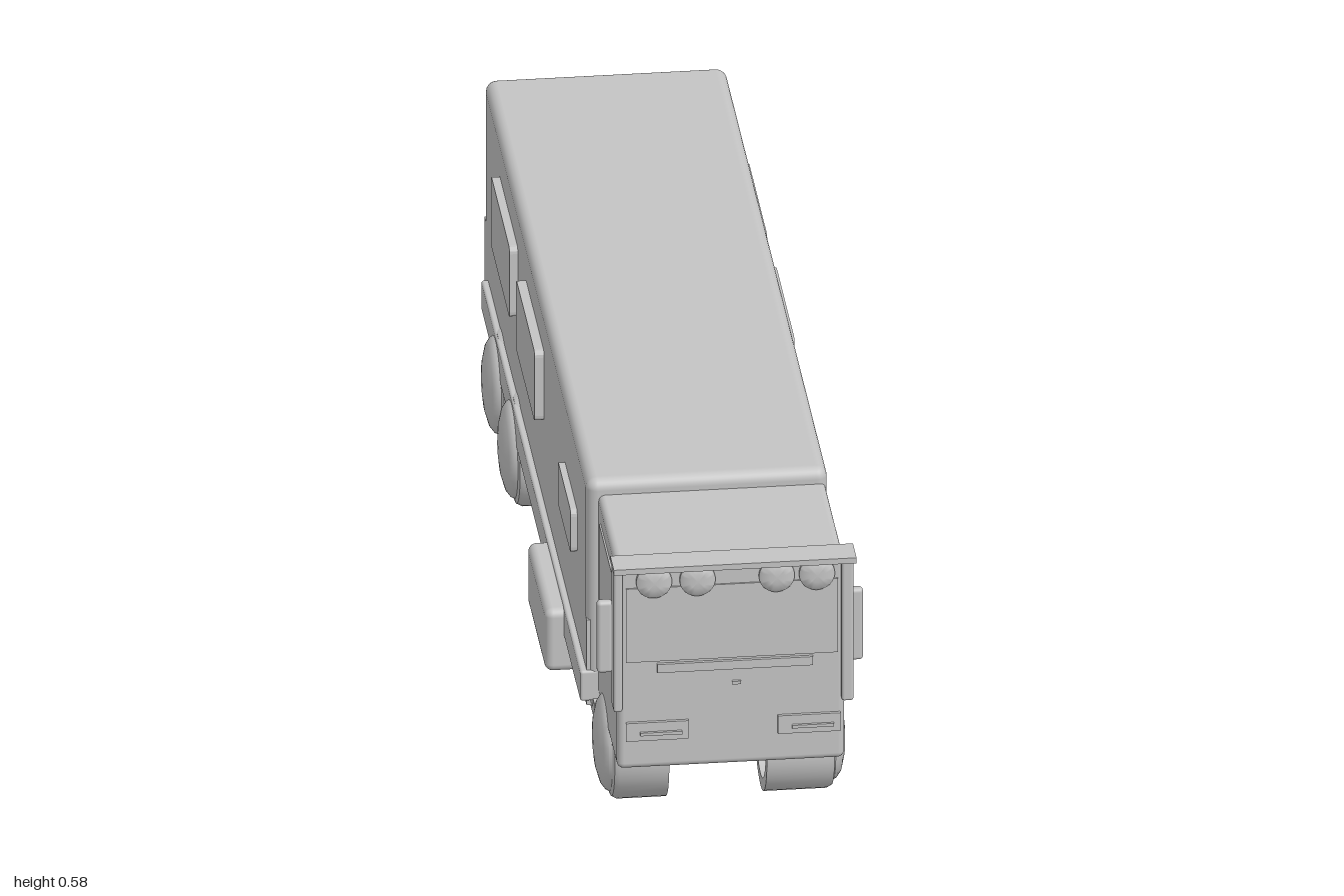
import * as THREE from 'three';
import { toCreasedNormals } from 'three/addons/utils/BufferGeometryUtils.js';
import { RoundedBoxGeometry } from 'three/addons/geometries/RoundedBoxGeometry.js';

export function createModel() {
  const model = new THREE.Group();
  model.name = 'expeditionTruck';
  const grey = new THREE.MeshStandardMaterial({ color: 0xc4c4c4, side: THREE.DoubleSide });
  grey.name = 'plain grey';

  const add = (name, geometry, parent = model) => {
    const mesh = new THREE.Mesh(geometry, grey);
    mesh.name = name;
    parent.add(mesh);
    return mesh;
  };
  // Box given by its limits; r > 0 rounds the edges
  const box = (name, [x0, x1], [y0, y1], [z0, z1], r = 0) => {
    const size = [x1 - x0, y1 - y0, z1 - z0];
    const geometry = r ? new RoundedBoxGeometry(...size, 3, r) : new THREE.BoxGeometry(...size);
    geometry.translate((x0 + x1) / 2, (y0 + y1) / 2, (z0 + z1) / 2);
    return add(name, geometry);
  };
  // Rounded plate lying on a side wall, facing along x
  const sidePlate = (name, x, [y0, y1], [z0, z1], depth, r = 0.012) => {
    const w = (z1 - z0) / 2, h = (y1 - y0) / 2;
    const s = new THREE.Shape();
    s.moveTo(-w + r, -h);
    s.lineTo(w - r, -h); s.quadraticCurveTo(w, -h, w, -h + r);
    s.lineTo(w, h - r); s.quadraticCurveTo(w, h, w - r, h);
    s.lineTo(-w + r, h); s.quadraticCurveTo(-w, h, -w, h - r);
    s.lineTo(-w, -h + r); s.quadraticCurveTo(-w, -h, -w + r, -h);
    const geometry = new THREE.ExtrudeGeometry(s, { depth, bevelEnabled: false, curveSegments: 4 });
    geometry.translate(0, 0, -depth / 2);
    geometry.rotateY(Math.PI / 2);
    geometry.translate(x, (y0 + y1) / 2, (z0 + z1) / 2);
    return add(name, geometry);
  };
  const lathe = (points) => toCreasedNormals(
    new THREE.LatheGeometry(points.map(([r, y]) => new THREE.Vector2(r, y)), 40), 0.6);

  // Living cabin, floor and skirts
  box('cabin', [-0.226, 0.206], [0.12, 0.578], [-0.92, 0.68], 0.02);
  box('cabinLowerWall', [-0.226, 0.206], [0.13, 0.3], [-0.92, 0.675]);
  box('floor', [-0.215, 0.195], [0.112, 0.145], [-0.93, 0.7]);
  box('rearBumper', [-0.215, 0.193], [0.112, 0.155], [-0.99, -0.9], 0.012);
  box('rightSkirt', [-0.238, -0.2], [0.14, 0.2], [-0.87, 0.68], 0.005);
  box('leftSkirt', [0.18, 0.218], [0.14, 0.2], [-0.87, 0.68], 0.005);
  for (const x of [-0.165, 0.135])
    box('rearLamp', [x - 0.03, x + 0.03], [0.158, 0.18], [-0.945, -0.915], 0.006);
  box('rearPlate', [-0.08, 0.06], [0.2, 0.206], [-0.925, -0.915]);

  // Side windows and storage boxes on both sides
  for (const [side, wall] of [['right', -0.226], ['left', 0.206]]) {
    const dir = Math.sign(wall);
    const x = wall + dir * 0.005;
    sidePlate(side + 'RearWindow', x, [0.36, 0.5], [-0.69, -0.4], 0.02);
    sidePlate(side + 'MiddleWindow', x, [0.36, 0.5], [-0.28, 0.01], 0.024);
    sidePlate(side + 'FrontWindow', x, [0.36, 0.445], [0.33, 0.53], 0.014);
    const limits = dir > 0 ? [0.165, 0.271] : [-0.272, -0.165];
    box(side + 'StorageBox', limits, [0.072, 0.196], [0.15, 0.43], 0.015);
  }

  // Driver's cab
  box('cab', [-0.205, 0.202], [0.15, 0.55], [0.66, 0.975], 0.012);
  box('windscreen', [-0.19, 0.19], [0.365, 0.512], [0.97, 0.978]);
  box('grilleBar', [-0.134, 0.145], [0.343, 0.36], [0.97, 0.981]);
  box('frontHandle', [0, 0.016], [0.312, 0.318], [0.97, 0.98]);
  for (const [x0, x1] of [[-0.19, -0.078], [0.082, 0.194]]) {
    box('headlightPanel', [x0, x1], [0.209, 0.245], [0.97, 0.981]);
    box('headlightSlot', [x0 + 0.025, x1 - 0.012], [0.221, 0.227], [0.975, 0.986]);
  }
  for (const [side, x] of [['right', -0.205], ['left', 0.202]]) {
    const dir = Math.sign(x);
    sidePlate(side + 'DoorWindow', x, [0.36, 0.51], [0.71, 0.93], 0.006, 0.006);
    sidePlate(side + 'DoorHandle', x, [0.285, 0.295], [0.73, 0.77], 0.01, 0.003);
    const pillar = dir > 0 ? [0.196, 0.217] : [-0.213, -0.197];
    box(side + 'CornerPanel', pillar, [0.27, 0.555], [0.945, 0.986], 0.005);
    const mirror = dir > 0 ? [0.211, 0.239] : [-0.238, -0.21];
    box(side + 'Mirror', mirror, [0.33, 0.472], [0.928, 0.947], 0.007);
  }

  // Roof bar with four round lamps
  box('roofBar', [-0.214, 0.221], [0.55, 0.561], [0.94, 0.997]);
  const lamp = lathe([[0.032, 0], [0.032, 0.014], [0.026, 0.019], [0.014, 0.022], [0, 0.023]]);
  for (const x of [-0.14, -0.062, 0.08, 0.152]) {
    const m = add('roofLamp', lamp);
    m.rotation.x = Math.PI / 2;
    m.position.set(x, 0.525, 0.967);
  }

  // Hollow wheels with domed outer faces
  const wheel = (w) => lathe([[0.08, w], [0.08, 0], [0.103, 0], [0.103, w - 0.012], [0.098, w - 0.003],
    [0.089, w], [0.086, w + 0.006], [0.075, w + 0.014], [0.05, w + 0.021], [0.025, w + 0.024], [0, w + 0.025]]);
  const axles = [['front', 0.767, -0.2, 0.2], ['middle', -0.393, -0.237, 0.212], ['rear', -0.647, -0.237, 0.212]];
  for (const [name, z, right, left] of axles) {
    const r = add(name + 'RightWheel', wheel(-0.1 - right));
    r.rotation.z = Math.PI / 2;
    r.position.set(-0.1, 0.103, z);
    const l = add(name + 'LeftWheel', wheel(left - 0.075));
    l.rotation.z = -Math.PI / 2;
    l.position.set(0.075, 0.103, z);
  }

  // Spare wheel on the back wall
  const spare = add('spareWheel', lathe([[0.096, 0], [0.096, 0.045], [0.092, 0.058], [0.082, 0.062],
    [0.078, 0.067], [0.05, 0.076], [0, 0.08]]));
  spare.rotation.x = -Math.PI / 2;
  spare.position.set(-0.02, 0.418, -0.915);

  return model;
}
